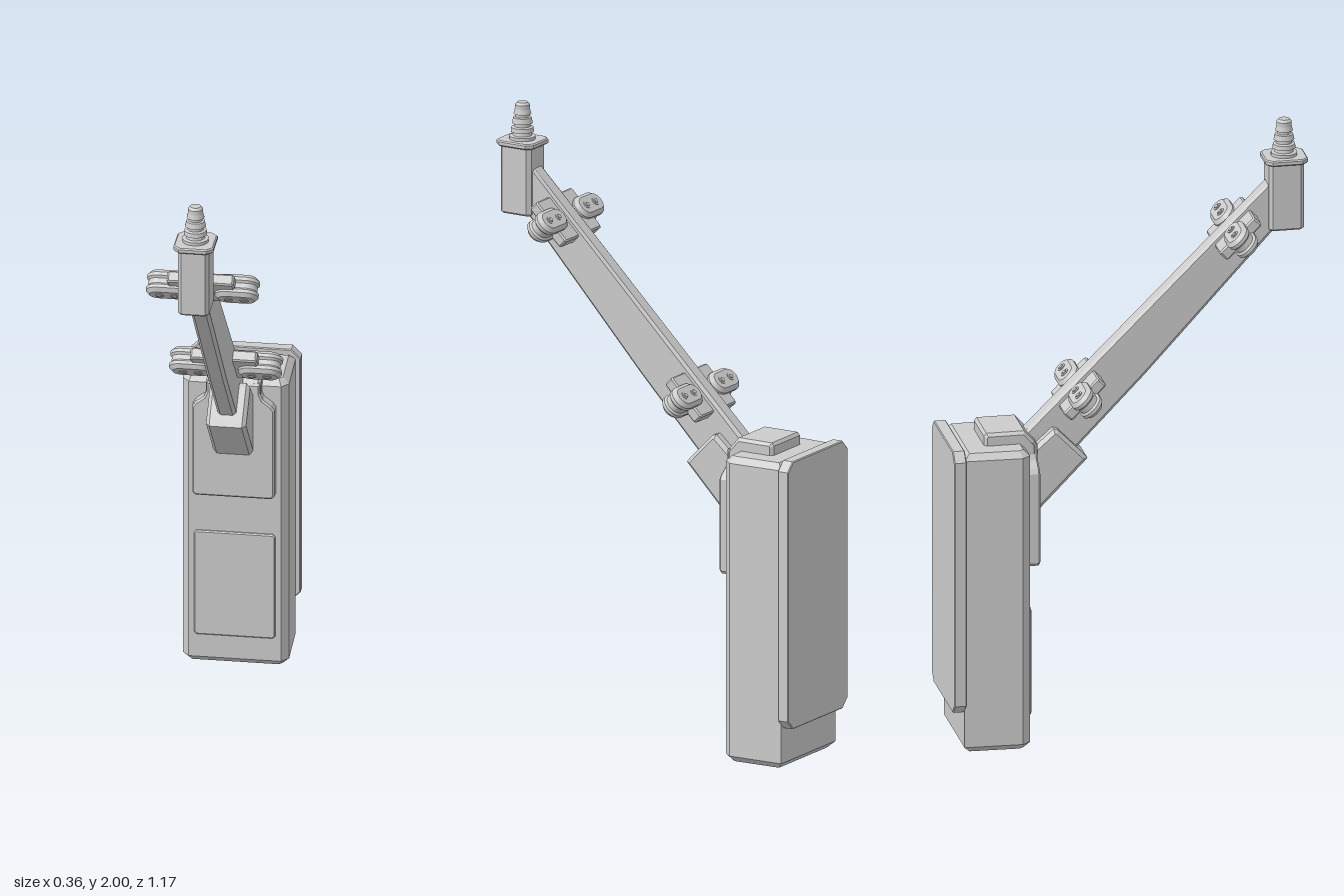
import * as THREE from 'three';

const material = new THREE.MeshStandardMaterial({ color: 0xcccccc });

function mesh(name, geometry, parent) {
  const m = new THREE.Mesh(geometry, material);
  m.name = name;
  parent.add(m);
  return m;
}

// Extrudes an outline, centred on its depth, with chamfers kept inside the outline.
function slab(outline, depth, bevel, curveSegments = 8) {
  const shape = outline instanceof THREE.Shape
    ? outline
    : new THREE.Shape(outline.map(([x, y]) => new THREE.Vector2(x, y)));
  const g = new THREE.ExtrudeGeometry(shape, {
    depth: depth - 2 * bevel, bevelEnabled: bevel > 0, bevelThickness: bevel,
    bevelSize: bevel, bevelOffset: -bevel, bevelSegments: 1, curveSegments,
  });
  return g.translate(0, 0, -depth / 2 + bevel);
}

// Outline given as (z, y), extruded across x.
const sideSlab = (outline, width, bevel) => slab(outline, width, bevel).rotateY(-Math.PI / 2);

// Outline given as (x, z), extruded upward from y0 to y1.
const planSlab = (outline, y0, y1, bevel) =>
  slab(outline.map(([x, z]) => [x, -z]), y1 - y0, bevel)
    .rotateX(-Math.PI / 2).translate(0, (y0 + y1) / 2, 0);

// Rectangle with cut corners.
function cutRect(x0, x1, y0, y1, c) {
  return [[x0 + c, y0], [x1 - c, y0], [x1, y0 + c], [x1, y1 - c],
    [x1 - c, y1], [x0 + c, y1], [x0, y1 - c], [x0, y0 + c]];
}

// Mirrors the right half of an outline across x = 0.
const mirrored = (half) => [...half, ...half.map(([x, y]) => [-x, y]).reverse()];

// Rounded-end outline along x.
function stadium(halfLength, r) {
  const s = new THREE.Shape();
  const k = halfLength - r;
  s.absarc(k, 0, r, -Math.PI / 2, Math.PI / 2, false);
  s.absarc(-k, 0, r, Math.PI / 2, Math.PI * 1.5, false);
  return s;
}

// Cross plate with a bolted pair of rounded lugs on each side of the arm.
function clamp(name, y, z) {
  const g = new THREE.Group();
  g.name = name;
  g.position.set(0, y, z);
  g.rotation.x = -Math.PI / 4;
  mesh('clampPlate', slab(cutRect(-0.107, 0.107, -0.08, 0.08, 0.006), 0.038, 0.005)
    .rotateX(-Math.PI / 2), g);
  for (const side of [-1, 1]) {
    mesh('lugCore', slab(stadium(0.064, 0.034), 0.02, 0).rotateX(-Math.PI / 2), g)
      .position.x = side * 0.11;
    for (const face of [-1, 1]) {
      mesh('lug', slab(stadium(0.07, 0.041), 0.035, 0.012).rotateX(-Math.PI / 2), g)
        .position.set(side * 0.11, face * 0.0205, 0);
      for (const x of [0.085, 0.135]) {
        mesh('boltCollar', new THREE.CylinderGeometry(0.014, 0.014, 0.004, 16), g)
          .position.set(side * x, face * 0.038, 0);
        mesh('boltHead', new THREE.CylinderGeometry(0.008, 0.008, 0.008, 6), g)
          .position.set(side * x, face * 0.039, 0);
      }
    }
  }
  return g;
}

export function createModel() {
  const model = new THREE.Group();
  model.name = 'bracketArmUnit';

  // Housing and back plate
  mesh('housing', planSlab(mirrored([[0.163, -0.55], [0.17, -0.362], [0.148, -0.335]]
    .reverse()), 0, 1.0, 0.02), model);
  mesh('backPlate', slab(cutRect(-0.179, 0.179, 0.135, 1.012, 0.03), 0.04, 0.003), model)
    .position.z = -0.566;

  // Front covers
  mesh('lowerPanel', slab(cutRect(-0.13, 0.13, 0.1, 0.463, 0.008), 0.02, 0.004), model)
    .position.z = -0.337;
  mesh('upperPanel', slab(mirrored([[0.122, 0.6], [0.132, 0.61], [0.132, 0.91],
    [0.122, 0.925], [0.095, 0.945], [0.086, 0.965], [0.086, 1.0]]), 0.05, 0.006), model)
    .position.z = -0.323;
  mesh('topCap', sideSlab([[-0.30, 0.9], [-0.30, 0.995], [-0.34, 1.04],
    [-0.462, 1.04], [-0.47, 1.03], [-0.47, 0.9]], 0.175, 0.01), model);

  // Socket and arm
  mesh('armSocket', sideSlab([[-0.33, 0.73], [-0.30, 0.75], [-0.13, 0.925],
    [-0.14, 0.937], [-0.225, 1.025], [-0.24, 1.03], [-0.33, 0.95]], 0.128, 0.012), model);
  mesh('arm', sideSlab([[-0.34, 0.90], [-0.20, 0.91], [0.06, 1.18], [0.475, 1.635],
    [0.475, 1.81], [-0.34, 1.005]], 0.06, 0.01), model);

  // Clamps along the arm
  model.add(clamp('upperClamp', 1.643, 0.354));
  model.add(clamp('lowerClamp', 1.14, -0.149));

  // Head block, flange and ribbed spigot
  const headZ = 0.515;
  mesh('headBlock', planSlab(cutRect(-0.05, 0.05, -0.057, 0.057, 0.012), 1.64, 1.87, 0.006), model)
    .position.z = headZ;
  mesh('headFlange', planSlab(cutRect(-0.064, 0.064, -0.069, 0.069, 0.02), 1.862, 1.88, 0.004), model)
    .position.z = headZ;
  const profile = [[0.042, 1.875], [0.042, 1.89], [0.03, 1.892], [0.028, 1.902], [0.037, 1.904],
    [0.035, 1.918], [0.026, 1.921], [0.026, 1.93], [0.033, 1.932], [0.029, 1.95], [0.022, 1.952],
    [0.022, 1.96], [0.028, 1.962], [0.024, 1.978], [0.024, 1.992], [0.017, 2.0], [0, 2.0]];
  const spigot = new THREE.LatheGeometry(profile.map(([r, y]) => new THREE.Vector2(r, y)), 24)
    .toNonIndexed();
  spigot.computeVertexNormals();
  mesh('spigot', spigot, model).position.z = headZ;

  return model;
}
